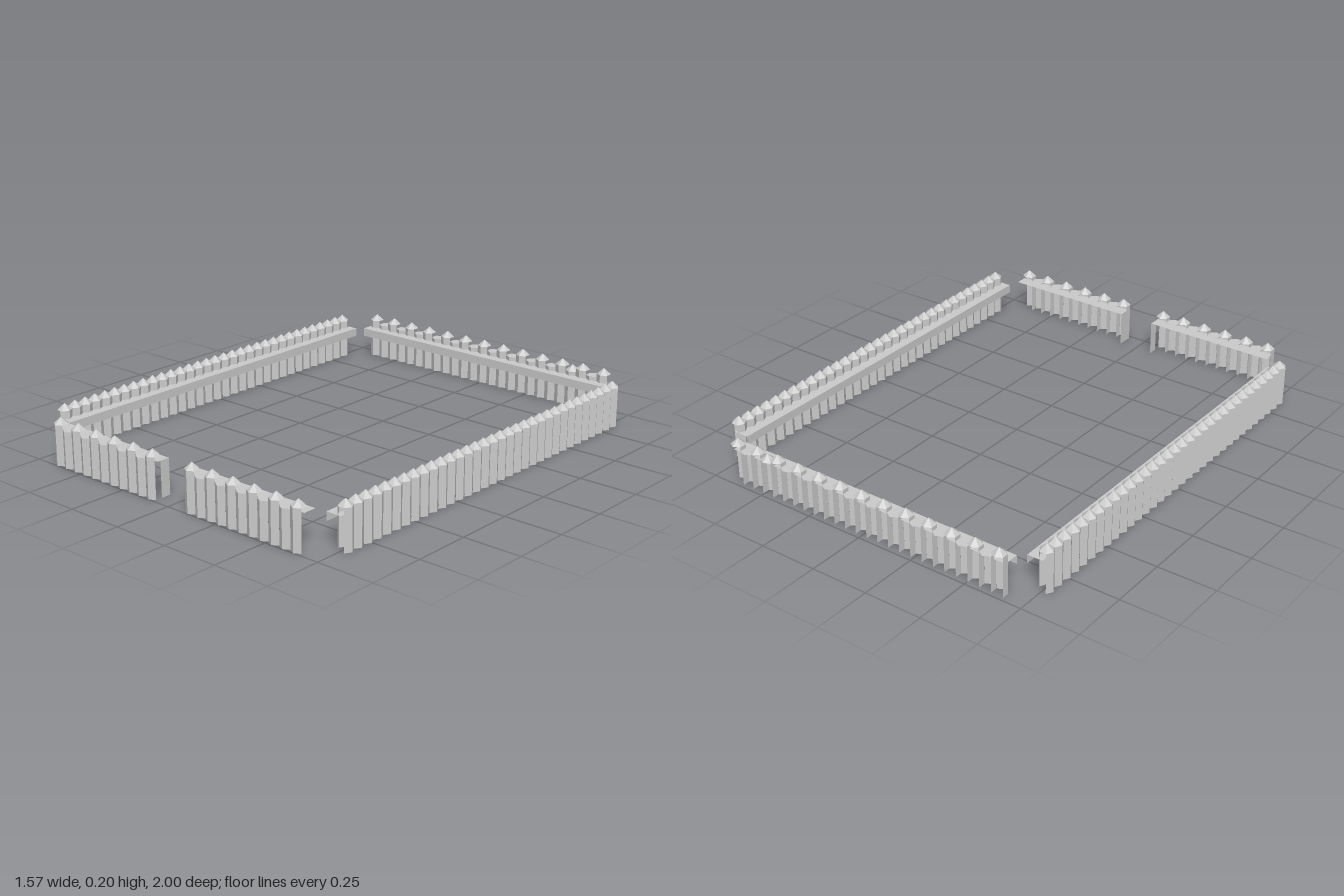
import * as THREE from 'three';

const R = 0.0305, STEP = 0.053, SIDE_STEP = 0.0532;
const SHOULDER = 0.171, SHORT = 0.155;
// open shells and thin boards show from both sides
const mat = new THREE.MeshStandardMaterial({ color: 0xcccccc, flatShading: true, side: THREE.DoubleSide });

// part of a six-sided stake with corners towards +-z
function shell(height, start, sides) {
  return new THREE.CylinderGeometry(R, R, height, sides, 1, true, start, sides * Math.PI / 3).translate(0, height / 2, 0);
}
// front and back stakes: one end face and the two faces towards +z
const tallShell = shell(SHOULDER, -2 * Math.PI / 3, 3);
const shortShell = shell(SHORT, -2 * Math.PI / 3, 3);
// side stakes: outer and inner pair of faces, open where neighbours touch
const outerShell = shell(SHOULDER, -Math.PI / 3, 2);
const innerShell = shell(SHOULDER, 2 * Math.PI / 3, 2);
const point = new THREE.ConeGeometry(R, 0.027, 6, 1, true).translate(0, 0.0135, 0);
const flatTop = new THREE.CircleGeometry(R, 6, Math.PI / 2).rotateX(-Math.PI / 2);

function add(parent, name, geometry, x, y = 0, z = 0) {
  const mesh = new THREE.Mesh(geometry, mat);
  mesh.name = name;
  mesh.position.set(x, y, z);
  parent.add(mesh);
}

function addGroup(parent, name, x, z, angle = 0) {
  const group = new THREE.Group();
  group.name = name;
  group.position.set(x, 0, z);
  group.rotation.y = angle;
  parent.add(group);
  return group;
}

// alternating pointed and flat stakes along x
function mixedStakes(wall, first, count) {
  for (let i = 0; i < count; i++) {
    const x = first + i * STEP, tall = i % 2 === 0;
    add(wall, tall ? 'tallStake' : 'shortStake', tall ? tallShell : shortShell, x);
    if (tall) add(wall, 'stakePoint', point, x, SHOULDER);
    else add(wall, 'stakeTop', flatTop, x, SHORT);
  }
}

// horizontal walkway surface reaching towards -z
function walkway(wall, x, length, depth, y) {
  const top = new THREE.PlaneGeometry(length, depth).rotateX(-Math.PI / 2);
  add(wall, 'walkway', top, x, y, -depth / 2);
}

// walkway with a fascia board along its inner edge
function beam(wall, length, depth) {
  walkway(wall, 0, length, depth, 0.137);
  const board = new THREE.PlaneGeometry(length, 0.037).rotateY(Math.PI);
  add(wall, 'walkwayFascia', board, 0, 0.1185, -depth);
}

export function createModel() {
  const model = new THREE.Group();
  model.name = 'palisade';

  // front wall, two sections either side of the gate
  for (const s of [-1, 1]) {
    const wall = addGroup(model, s > 0 ? 'frontWallLeft' : 'frontWallRight', 0, 0.9695);
    mixedStakes(wall, s > 0 ? 2 * STEP : -12 * STEP, 11);
    walkway(wall, s * 7 * STEP, 11 * STEP, 0.057, 0.15);
    const panel = new THREE.PlaneGeometry(0.043, 0.15).rotateY(-s * Math.PI / 2);
    add(wall, 'gateEndPanel', panel, s * 1.5 * STEP, 0.075, -0.0355);
  }

  // back wall, with one extra pointed stake
  const back = addGroup(model, 'backWall', 0, -0.9695);
  mixedStakes(back, -12 * STEP, 25);
  add(back, 'extraPoint', point, 9 * STEP, SHORT);
  beam(addGroup(back, 'backWalkway', 0, 0, Math.PI), 25 * STEP, 0.067);

  // side walls of close-set pointed stakes, modelled with the outside facing +z
  for (const s of [-1, 1]) {
    const wall = addGroup(model, s > 0 ? 'leftWall' : 'rightWall', s * 0.756, s > 0 ? 0.008 : 0, s * Math.PI / 2);
    for (let i = -16; i <= 16; i++) {
      const x = i * SIDE_STEP;
      add(wall, 'stakeOuter', outerShell, x);
      add(wall, 'stakeInner', innerShell, x);
      add(wall, 'stakePoint', point, x, SHOULDER);
    }
    beam(wall, 33 * SIDE_STEP, 0.066);
  }
  return model;
}
